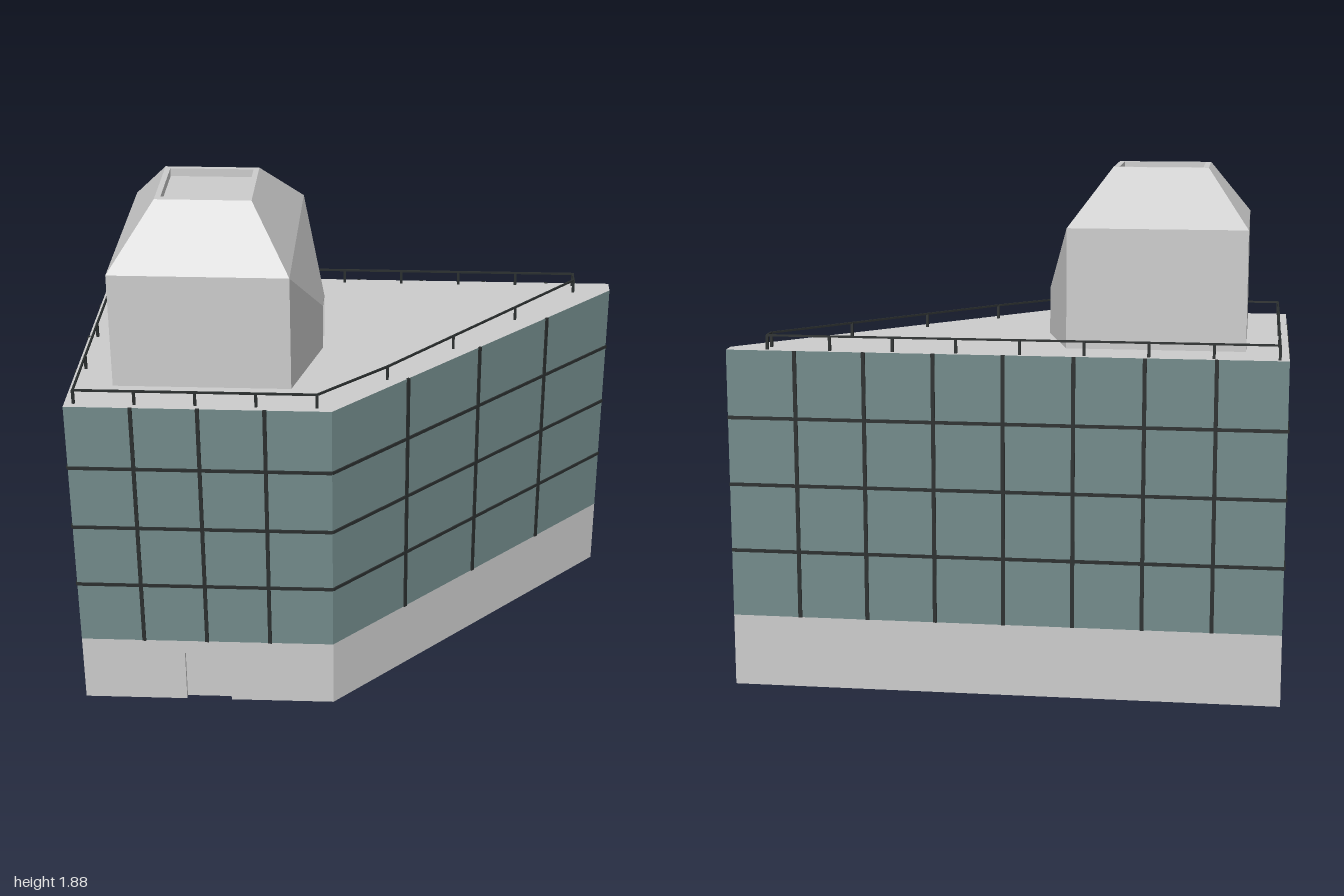
import * as THREE from 'three';

const grey = new THREE.MeshStandardMaterial({ color: 0xcccccc, flatShading: true, side: THREE.DoubleSide });
const glass = new THREE.MeshStandardMaterial({ color: 0x728a8a, flatShading: true, side: THREE.DoubleSide });
const dark = new THREE.MeshStandardMaterial({ color: 0x2a2e2e });

const BASE = 0.265, ROOF = 1.25;

function add(parent, geometry, material, name, x = 0, y = 0, z = 0) {
  const mesh = new THREE.Mesh(geometry, material);
  mesh.name = name;
  mesh.position.set(x, y, z);
  parent.add(mesh);
  return mesh;
}

// Flat-sided surface from a list of four-cornered faces
function quadGeometry(quads) {
  const pos = quads.flatMap(([a, b, c, d]) => [a, b, c, a, c, d].flat());
  const g = new THREE.BufferGeometry();
  g.setAttribute('position', new THREE.Float32BufferAttribute(pos, 3));
  g.computeVertexNormals();
  return g;
}

// Four corners of a level rectangle, anticlockwise from above, starting front left
const ring = (x0, x1, z0, z1, y) => [[x0, y, z1], [x1, y, z1], [x1, y, z0], [x0, y, z0]];

// Faces joining two rings, leaving out one side if asked
function band(a, b, skip = -1) {
  return a.map((p, i) => [p, a[(i + 1) % 4], b[(i + 1) % 4], b[i]]).filter((_, i) => i !== skip);
}

// One straight facade: local x runs along the wall, local z points outward
function buildWall([ax, az], [bx, bz], columns, rows, door) {
  const wall = new THREE.Group();
  const len = Math.hypot(bx - ax, bz - az);
  wall.position.set(ax, 0, az);
  wall.rotation.y = Math.atan2(-(bz - az), bx - ax);

  // Plinth, with a shallow doorway where needed
  const s = new THREE.Shape();
  s.moveTo(0, 0);
  if (door) {
    const { x, w, h, d } = door;
    s.lineTo(x, 0).lineTo(x, h).lineTo(x + w, h).lineTo(x + w, 0);
    add(wall, new THREE.PlaneGeometry(w, h), grey, 'door', x + w / 2, h / 2, -d);
    add(wall, quadGeometry([
      [[x, 0, 0], [x, 0, -d], [x, h, -d], [x, h, 0]],
      [[x, h, 0], [x, h, -d], [x + w, h, -d], [x + w, h, 0]],
      [[x + w, h, 0], [x + w, h, -d], [x + w, 0, -d], [x + w, 0, 0]],
    ]), grey, 'doorway');
  }
  s.lineTo(len, 0).lineTo(len, BASE).lineTo(0, BASE);
  add(wall, new THREE.ShapeGeometry(s), grey, 'plinth');

  // Glazing and its bars
  const h = ROOF - BASE;
  add(wall, new THREE.PlaneGeometry(len, h), glass, 'glazing', len / 2, BASE + h / 2);
  for (let i = 1; i < columns; i++)
    add(wall, new THREE.BoxGeometry(0.014, h, 0.01), dark, 'mullion', len * i / columns, BASE + h / 2);
  for (let i = 1; i < rows; i++)
    add(wall, new THREE.BoxGeometry(len, 0.012, 0.01), dark, 'transom', len / 2, BASE + h * i / rows);
  return wall;
}

function buildRailing(runs) {
  const railing = new THREE.Group();
  railing.name = 'railing';
  const points = runs.flatMap(([a, b, n]) => Array.from({ length: n }, (_, i) =>
    [a[0] + (b[0] - a[0]) * i / n, a[1] + (b[1] - a[1]) * i / n]));
  points.forEach(([x, z], i) => {
    const [nx, nz] = points[(i + 1) % points.length];
    add(railing, new THREE.BoxGeometry(0.01, 0.052, 0.01), dark, 'post', x, ROOF + 0.026, z);
    const rail = add(railing, new THREE.BoxGeometry(Math.hypot(nx - x, nz - z), 0.007, 0.007), dark,
      'handrail', (x + nx) / 2, ROOF + 0.051, (z + nz) / 2);
    rail.rotation.y = Math.atan2(-(nz - z), nx - x);
  });
  return railing;
}

function buildRoofHouse() {
  const house = new THREE.Group();
  house.name = 'roofHouse';
  const foot = ring(-0.845, -0.205, -0.385, 0.395, ROOF);
  const eave = ring(-0.845, -0.205, -0.385, 0.395, 1.68);
  const top = ring(-0.695, -0.35, -0.145, 0.18, 1.88);
  const rim = ring(-0.675, -0.37, -0.125, 0.155, 1.88);
  const well = ring(-0.675, -0.37, -0.125, 0.155, 1.85);
  add(house, quadGeometry(band(foot, eave, 1)), grey, 'houseWalls');
  add(house, quadGeometry(band(eave, top)), grey, 'hippedRoof');
  add(house, quadGeometry([...band(top, rim), ...band(rim, well), well]), grey, 'skylightWell');

  // Sloping porch on the left side, narrowing to a recessed door
  const upright = (x, z0, z1, y1) => [[x, ROOF, z1], [x, ROOF, z0], [x, y1, z0], [x, y1, z1]];
  const side = [foot[1], foot[2], eave[2], eave[1]];
  const face = upright(-0.11, -0.045, 0.055, 1.42);
  const frame = upright(-0.11, -0.04, 0.05, 1.41);
  const leaf = upright(-0.125, -0.04, 0.05, 1.41);
  add(house, quadGeometry(band(side, face, 0)), grey, 'porch');
  add(house, quadGeometry([...band(face, frame, 0), ...band(frame, leaf, 0)]), grey, 'porchDoorFrame');
  add(house, quadGeometry([leaf]), grey, 'porchDoor');
  return house;
}

export function createModel() {
  const model = new THREE.Group();
  model.name = 'building';

  // Five-sided footprint as x, z, anticlockwise from above
  const plan = [[-0.996, 0.562], [-0.052, 0.562], [0.996, -0.5], [0.996, -0.564], [-0.996, -0.564]];
  const names = ['frontWall', 'slantedWall', 'cornerWall', 'backWall', 'rightWall'];
  const columns = [4, 4, 1, 8, 4];
  plan.forEach((p, i) => {
    const door = i === 0 ? { x: 0.386, w: 0.17, h: 0.21, d: 0.02 } : null;
    const wall = buildWall(p, plan[(i + 1) % 5], columns[i], i === 2 ? 1 : 4, door);
    wall.name = names[i];
    model.add(wall);
  });

  // Flat roof
  const outline = new THREE.Shape(plan.map(([x, z]) => new THREE.Vector2(x, -z)));
  add(model, new THREE.ShapeGeometry(outline).rotateX(-Math.PI / 2), grey, 'roof', 0, ROOF, 0);

  // Railing runs: start, end, number of bays
  const a = [-0.963, 0.533], b = [-0.105, 0.533], m = [0.135, 0.305];
  const c = [0.85, -0.48], d = [0.85, -0.54], e = [-0.963, -0.54];
  model.add(buildRailing([[a, b, 4], [b, m, 1], [m, c, 3], [c, d, 1], [d, e, 8], [e, a, 4]]));

  model.add(buildRoofHouse());
  return model;
}
